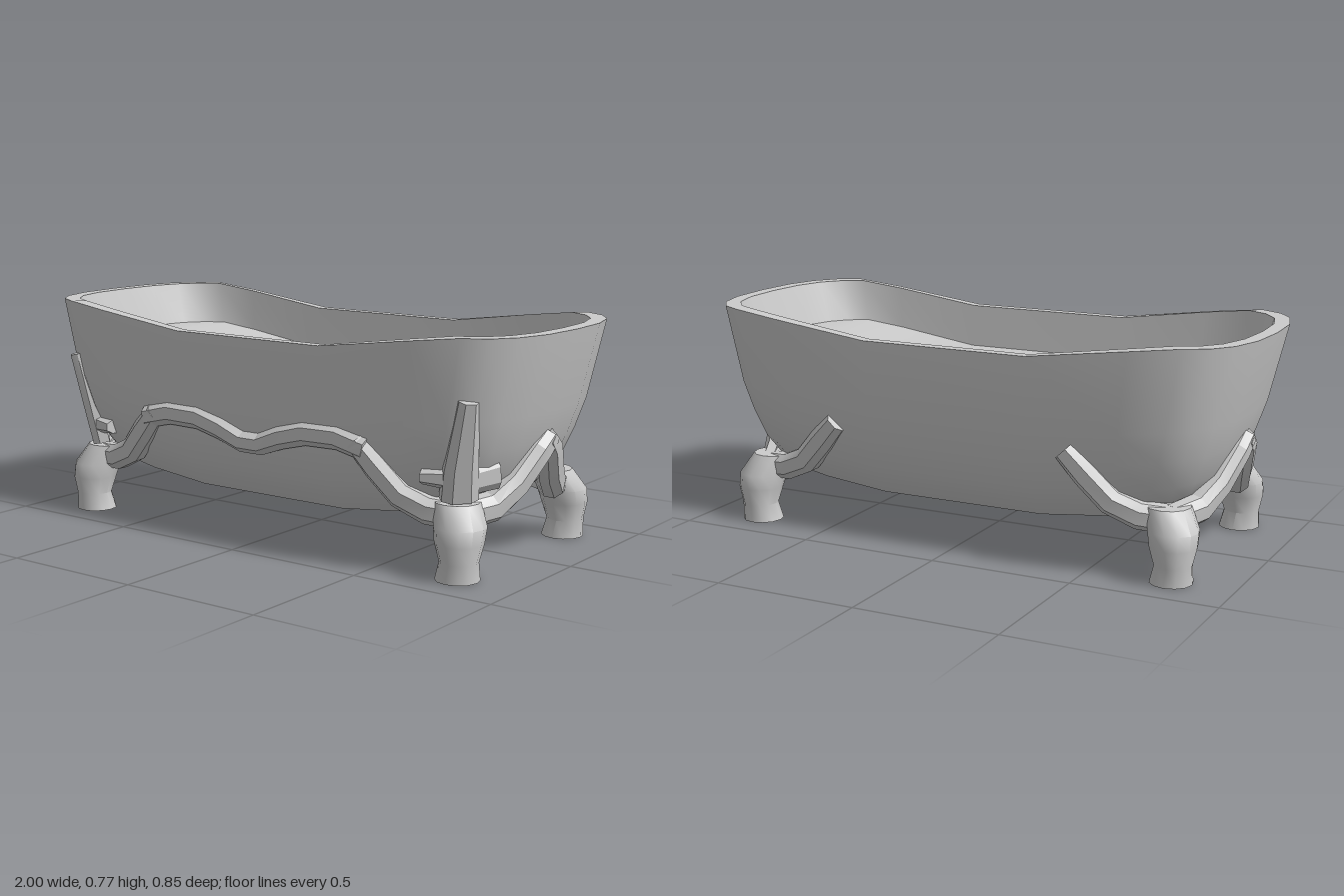
import * as THREE from 'three';
import { toCreasedNormals } from 'three/addons/utils/BufferGeometryUtils.js';

const material = new THREE.MeshStandardMaterial({ color: 0xcccccc });
const V = (x, y, z) => new THREE.Vector3(x, y, z);

// Skin a list of equal-length closed rings, optionally capping both ends.
function loft(name, rings, caps, crease) {
  const pos = [];
  const tri = (...pts) => pts.forEach(p => pos.push(p.x, p.y, p.z));
  const n = rings[0].length;
  for (let r = 0; r < rings.length - 1; r++) {
    for (let i = 0; i < n; i++) {
      const j = (i + 1) % n;
      const a = rings[r][i], b = rings[r][j], c = rings[r + 1][j], d = rings[r + 1][i];
      tri(a, d, c);
      tri(a, c, b);
    }
  }
  if (caps) {
    const first = rings[0], last = rings[rings.length - 1];
    for (let i = 1; i < n - 1; i++) {
      tri(first[0], first[i], first[i + 1]);
      tri(last[0], last[i + 1], last[i]);
    }
  }
  const geometry = new THREE.BufferGeometry();
  geometry.setAttribute('position', new THREE.Float32BufferAttribute(pos, 3));
  const mesh = new THREE.Mesh(toCreasedNormals(geometry, crease), material);
  mesh.name = name;
  return mesh;
}

// Bevelled strip along a path; each point is [x, y, z, halfWidth].
function strip(name, path, out, depth = 0.03) {
  const pts = path.map(p => V(p[0], p[1], p[2]));
  const rings = path.map((p, i) => {
    const t = pts[Math.min(i + 1, pts.length - 1)].clone().sub(pts[Math.max(i - 1, 0)]).normalize();
    const side = t.clone().cross(out).normalize();
    const up = side.clone().cross(t).multiplyScalar(-1).normalize();
    if (up.dot(out) < 0) up.negate();
    const w = p[3];
    return [[w, -depth], [w, 0.2 * depth], [0.5 * w, depth], [-0.5 * w, depth], [-w, 0.2 * depth], [-w, -depth]]
      .map(([s, o]) => pts[i].clone().addScaledVector(side, s).addScaledVector(up, o));
  });
  return loft(name, rings, true, 0.3);
}

// Tub: rounded-rectangle rings from the underside, up the wall, over the rim, to the inner floor.
function makeTub() {
  const q = [[1, 0], [0.99, 0.17], [0.955, 0.29], [0.9, 0.365], [0.82, 0.41], [0.65, 0.425], [0.3, 0.425]];
  const flip = (sx, sz) => q.map(([x, z]) => [sx * x, sz * z]);
  const outline = [...flip(1, 1), ...flip(-1, 1).reverse(), ...flip(-1, -1).slice(1), ...flip(1, -1).slice(1).reverse()];
  const ring = (t, sx, sz, drop = 0) => outline.map(([x, z]) => {
    const k = Math.max(0, (Math.abs(x) - 0.3) / 0.7);
    const low = 0.145 + 0.065 * Math.pow(k, 1.3);
    const high = 0.705 + 0.065 * Math.min(1, k / 0.72);
    return V(x - Math.sign(x) * (1 - sx) * k, low + (high - low) * t - drop, z * sz);
  });
  return loft('tub', [
    ring(0, 0.78, 0), ring(0, 0.78, 0.68), ring(0.07, 0.82, 0.76), ring(0.18, 0.86, 0.85),
    ring(0.35, 0.9, 0.92), ring(0.53, 0.935, 0.965), ring(1, 1, 1),
    ring(1, 0.95, 0.905), ring(1, 0.907, 0.865, 0.15), ring(1, 0.907, 0, 0.15),
  ], false, 0.6);
}

// Leg with a round foot and a swollen knee; rows are [x, y, z, radius].
function makeLeg(sx, sz) {
  const rows = [[0.785, 0, 0.342, 0.072], [0.792, 0.06, 0.346, 0.063], [0.79, 0.12, 0.342, 0.079],
    [0.785, 0.17, 0.33, 0.085], [0.755, 0.24, 0.3, 0.075]];
  const rings = rows.map(([x, y, z, r]) => Array.from({ length: 12 }, (_, i) => {
    const a = i / 12 * Math.PI * 2;
    return V(sx * x + r * Math.cos(a), y, sz * z + r * Math.sin(a));
  }));
  return loft('leg', rings, true, 0.7);
}

export function createModel() {
  const model = new THREE.Group();
  model.name = 'bathtub';
  model.add(makeTub());

  for (const sx of [1, -1]) {
    for (const sz of [1, -1]) {
      const corner = new THREE.Group();
      corner.name = (sz > 0 ? 'front' : 'back') + (sx > 0 ? 'Left' : 'Right') + 'Support';
      const at = rows => rows.map(([x, y, z, w]) => [sx * x, y, sz * z, w]);
      corner.add(makeLeg(sx, sz));

      // Arm along the long side
      corner.add(strip('longArm', at([[0.76, 0.195, 0.32, 0.045], [0.67, 0.205, 0.345, 0.045],
        [0.58, 0.245, 0.365, 0.045], [0.5, 0.33, 0.385, 0.045], [0.43, 0.405, 0.395, 0.038]]), V(0, 0, sz)));

      // Arm rising to the peak at the tub's end
      corner.add(strip('endArm', at([[0.78, 0.195, 0.31, 0.045], [0.83, 0.21, 0.2, 0.048],
        [0.865, 0.275, 0.115, 0.048], [0.9, 0.375, 0.035, 0.045], [0.905, 0.415, -0.01, 0.035]]), V(sx, 0, 0)));

      // Upright leaf with two side lobes, on the front corners
      if (sz > 0) {
        const out = V(sx * 0.7, 0, 0.7);
        corner.add(strip('leaf', at([[0.775, 0.25, 0.32, 0.06], [0.79, 0.35, 0.338, 0.055],
          [0.832, 0.575, 0.368, 0.032]]), out));
        corner.add(strip('leafFrontLobe', at([[0.78, 0.32, 0.335, 0.04], [0.665, 0.32, 0.365, 0.025]]), V(0, 0, 1)));
        corner.add(strip('leafEndLobe', at([[0.79, 0.31, 0.325, 0.045], [0.845, 0.325, 0.21, 0.05]]), V(sx, 0, 0), 0.02));
      }
      model.add(corner);
    }
  }

  // Wavy garland joining the two front arms
  const half = [[0.47, 0.385, 0.393, 0.04], [0.36, 0.412, 0.396, 0.042], [0.23, 0.41, 0.397, 0.042],
    [0.13, 0.383, 0.396, 0.04], [0.04, 0.348, 0.393, 0.037]];
  const mirrored = half.map(([x, ...rest]) => [-x, ...rest]).reverse();
  model.add(strip('frontGarland', [...half, ...mirrored], V(0, 0, 1)));
  return model;
}
